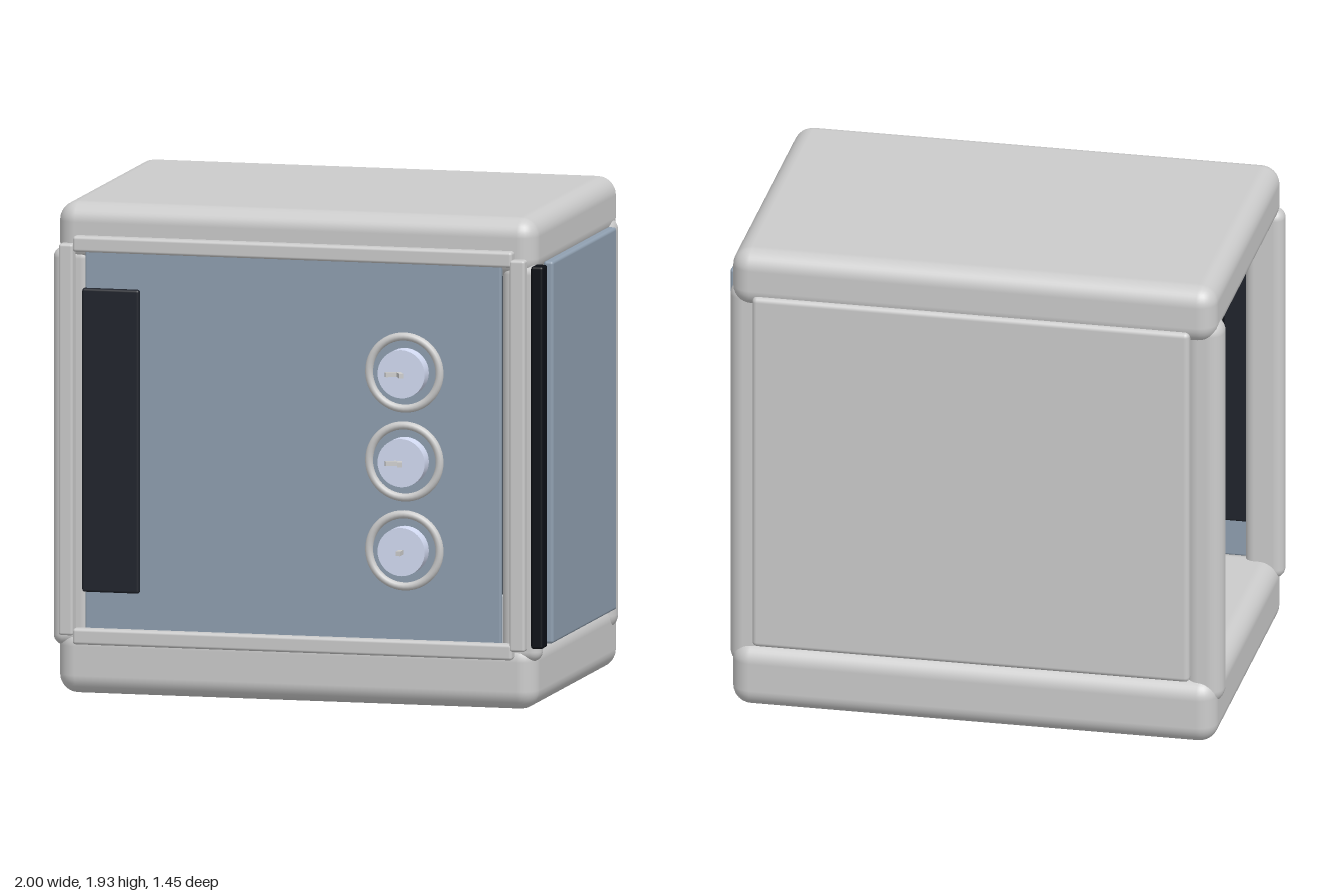
import * as THREE from 'three';
import { RoundedBoxGeometry } from 'three/addons/geometries/RoundedBoxGeometry.js';

const mat = (color) => new THREE.MeshStandardMaterial({ color });
const grey = mat(0xcccccc);
const glass = mat(0x8f9fb0);
const black = mat(0x0d1016);
const dark = mat(0x20242c);
const pale = mat(0xd4dcf4);

export function createModel() {
  const model = new THREE.Group();
  model.name = 'cabinet';

  const add = (name, geometry, material, x, y, z, parent = model) => {
    const mesh = new THREE.Mesh(geometry, material);
    mesh.name = name;
    mesh.position.set(x, y, z);
    parent.add(mesh);
    return mesh;
  };
  // Rounded box given by its extents on each axis
  const slab = (name, [x0, x1], [y0, y1], [z0, z1], radius, material = grey) =>
    add(name, new RoundedBoxGeometry(x1 - x0, y1 - y0, z1 - z0, 4, radius), material,
      (x0 + x1) / 2, (y0 + y1) / 2, (z0 + z1) / 2);

  // Base and roof
  slab('base', [-0.98, 0.95], [0, 0.265], [-0.71, 0.6], 0.075);
  slab('roof', [-0.98, 0.95], [1.7, 1.935], [-0.71, 0.6], 0.075);

  // Corner posts
  for (const [side, x] of [['left', [0.81, 0.965]], ['right', [-1.0, -0.845]]]) {
    slab(side + 'FrontPost', x, [0.19, 1.755], [0.5, 0.59], 0.04);
    slab(side + 'RearPost', x, [0.155, 1.785], [-0.675, -0.54], 0.06);
  }

  // Wall panels; the right side stays open
  slab('backPanel', [-0.88, 0.86], [0.27, 1.755], [-0.725, -0.67], 0.02);
  slab('sideGlass', [0.957, 0.997], [0.255, 1.76], [-0.48, 0.5], 0.012, glass);
  slab('frontGlass', [-0.86, 0.815], [0.25, 1.76], [0.575, 0.61], 0.008, glass);
  slab('innerBoard', [-0.87, 0.78], [0.37, 1.69], [-0.02, 0.02], 0.01, black);
  slab('cornerStrip', [0.948, 0.997], [0.255, 1.76], [0.585, 0.66], 0.01, black);

  // Frame around the front glass
  for (const x of [[-0.955, -0.898], [0.86, 0.922]])
    slab('frameUpright', x, [0.24, 1.78], [0.605, 0.657], 0.01);
  for (const y of [[0.205, 0.268], [1.75, 1.812]])
    slab('frameRail', [-0.9, 0.87], y, [0.603, 0.655], 0.012);

  // Dark plate on the front
  slab('frontPlate', [-0.868, -0.638], [0.41, 1.605], [0.54, 0.63], 0.01, dark);

  // Dials with a ring, a disc and small pins
  const ring = new THREE.TorusGeometry(0.142, 0.016, 12, 48);
  const face = new THREE.CylinderGeometry(0.095, 0.095, 0.13, 40).rotateX(Math.PI / 2);
  const hub = new THREE.CylinderGeometry(0.095, 0.095, 0.02, 40).rotateX(Math.PI / 2);
  const pin = new THREE.BoxGeometry(0.018, 0.018, 0.055);
  [0.62, 0.97, 1.32].forEach((y, i) => {
    const dial = new THREE.Group();
    dial.name = 'dial';
    dial.position.set(0.43, y, 0);
    model.add(dial);
    add('frontRing', ring, grey, 0, 0, 0.625, dial);
    add('backRing', ring, grey, 0, 0, 0.57, dial);
    add('disc', face, pale, 0, 0, 0.61, dial);
    add('boardRing', ring, grey, 0, 0, 0.03, dial);
    add('boardDisc', hub, pale, 0, 0, 0.025, dial);
    add('pin', pin, grey, 0, 0, 0.698, dial).rotation.y = 0.25 * i;
    if (i > 0) add('sidePin', pin, grey, -0.033, 0, 0.69, dial).rotation.y = -1.1;
  });

  return model;
}
